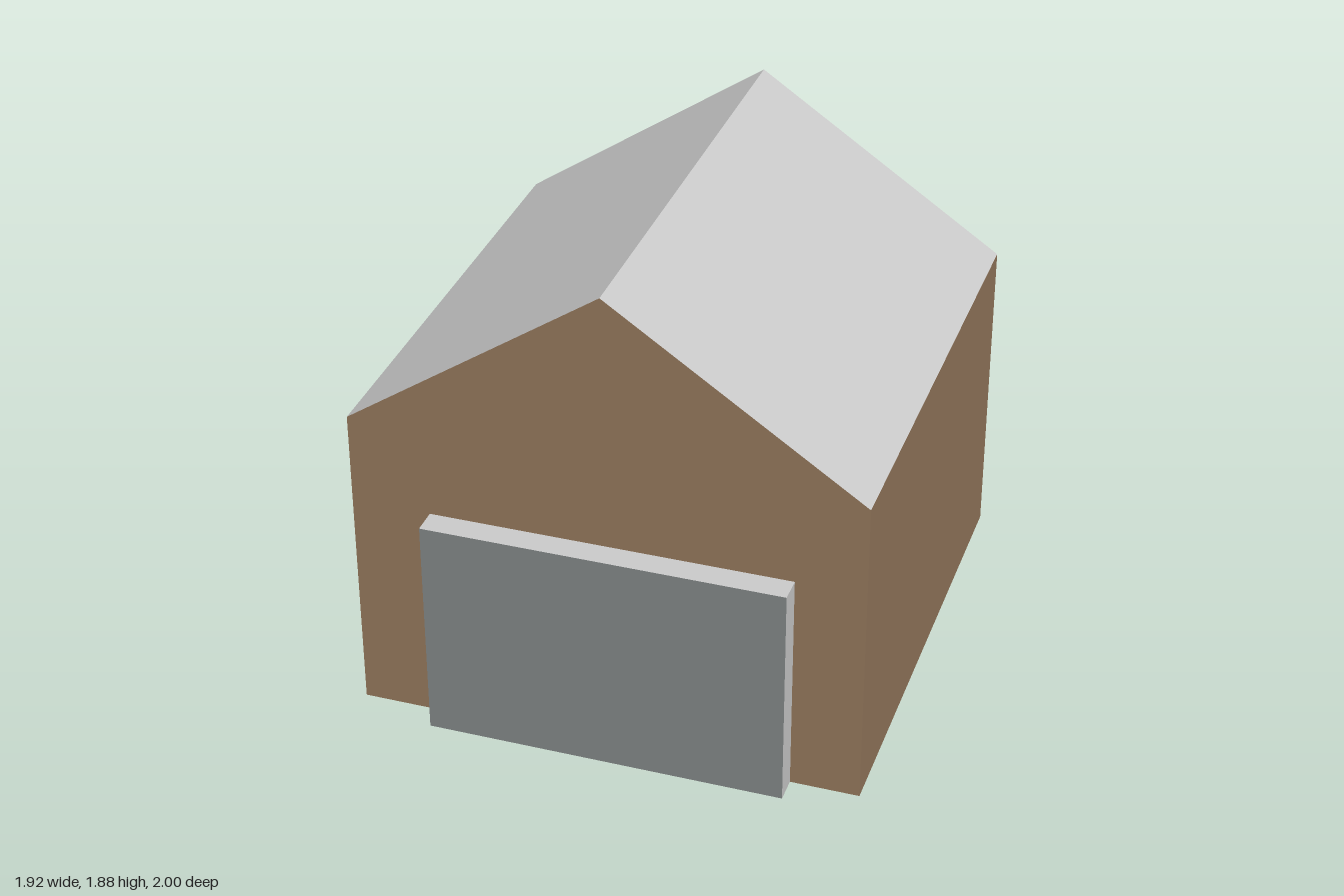
import * as THREE from 'three';

const HALF_WIDTH = 0.96, EAVES = 1.23, RIDGE = 1.88;
const BACK = -1, FRONT = 0.9;

function paint(name, color) {
  const material = new THREE.MeshStandardMaterial({ color });
  material.name = name;
  return material;
}

// Box given by its limits; materials in order +x, -x, +y, -y, +z, -z
function block(name, [x0, x1], [y0, y1], [z0, z1], materials) {
  const geometry = new THREE.BoxGeometry(x1 - x0, y1 - y0, z1 - z0);
  geometry.translate((x0 + x1) / 2, (y0 + y1) / 2, (z0 + z1) / 2);
  const mesh = new THREE.Mesh(geometry, materials);
  mesh.name = name;
  return mesh;
}

export function createModel() {
  const brown = paint('wall brown', 0x94785c);
  const grey = paint('light grey', 0xcccccc);
  const slate = paint('door slate', 0x828787);

  const group = new THREE.Group();
  group.name = 'garage';

  // Brown walls on a grey floor
  group.add(block('walls', [-HALF_WIDTH, HALF_WIDTH], [0, EAVES], [BACK, FRONT],
    [brown, brown, grey, grey, brown, brown]));

  // Gabled roof: grey slopes and back gable, brown front gable
  const gable = new THREE.Shape([
    new THREE.Vector2(-HALF_WIDTH, EAVES),
    new THREE.Vector2(HALF_WIDTH, EAVES),
    new THREE.Vector2(0, RIDGE),
  ]);
  const roofGeometry = new THREE.ExtrudeGeometry(gable, { depth: FRONT - BACK, bevelEnabled: false });
  roofGeometry.translate(0, 0, BACK);
  roofGeometry.clearGroups();
  roofGeometry.addGroup(0, 3, 0); // back gable
  roofGeometry.addGroup(3, 3, 1); // front gable
  roofGeometry.addGroup(6, roofGeometry.attributes.position.count - 6, 0); // slopes
  const roof = new THREE.Mesh(roofGeometry, [grey, brown]);
  roof.name = 'roof';
  group.add(roof);

  // Door slab standing proud of the front wall
  group.add(block('garageDoor', [-0.66, 0.7], [0, 0.88], [FRONT, 1],
    [grey, grey, grey, grey, slate, grey]));

  return group;
}
